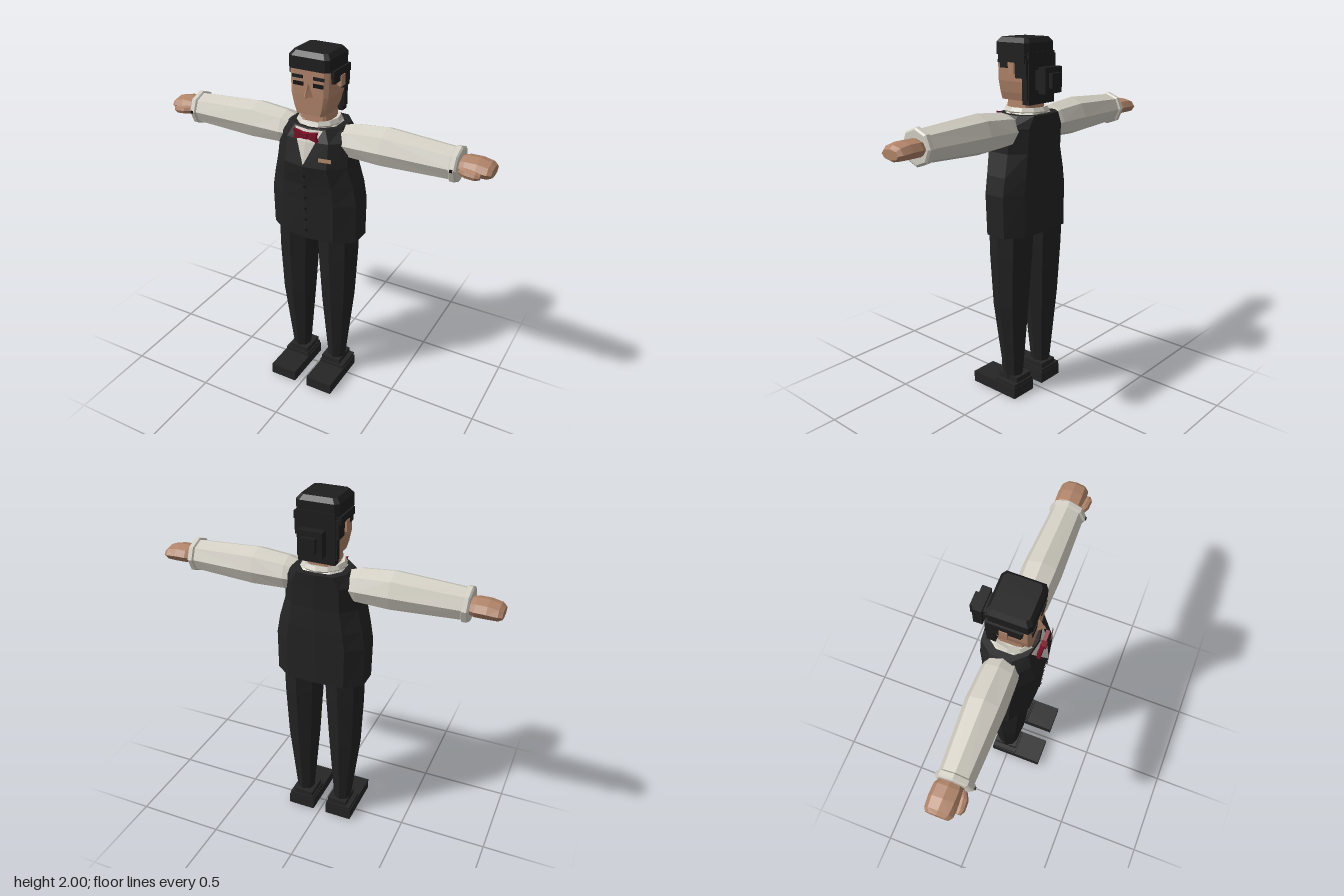
import * as THREE from 'three';

const mat = (name, color) => Object.assign(new THREE.MeshStandardMaterial({ color }), { name });

// Cross-section outlines: right half from front (+z) to back, mirrored to a closed loop
const outline = half => [...half, ...half.filter(p => p[0] > 0).reverse().map(([x, z]) => [-x, z])];
const OCT = outline([[0, 1], [0.71, 0.71], [1, 0], [0.71, -0.71], [0, -1]]);
const BODY = outline([[0, 1], [0.6, 0.86], [1, 0.4], [1, -0.45], [0.65, -0.93], [0, -1]]);
const BLOCK = outline([[0, 1], [0.8, 1], [1, 0.85], [1, -0.85], [0.8, -1], [0, -1]]);

// Capped, faceted loft through sections [y, halfWidth, frontZ, backZ, centreX]
function loft(shape, sections) {
  const pos = [], idx = [], n = shape.length;
  for (const [y, rx, f, b, cx = 0] of sections)
    for (const [u, v] of shape) pos.push(cx + u * rx, y, (f + b) / 2 + v * (f - b) / 2);
  for (let s = 0; s < sections.length - 1; s++)
    for (let i = 0; i < n; i++) {
      const a = s * n + i, b = s * n + (i + 1) % n;
      idx.push(a, b, b + n, a, b + n, a + n);
    }
  const top = (sections.length - 1) * n;
  for (let i = 1; i < n - 1; i++) idx.push(0, i + 1, i, top, top + i, top + i + 1);
  const g = new THREE.BufferGeometry();
  g.setAttribute('position', new THREE.Float32BufferAttribute(pos, 3));
  g.setIndex(idx);
  return g;
}

// Box from its limits
const box = (x0, x1, y0, y1, z0, z1) => new THREE.BoxGeometry(x1 - x0, y1 - y0, z1 - z0)
  .translate((x0 + x1) / 2, (y0 + y1) / 2, (z0 + z1) / 2);

// Loft laid along +x: sections [x, halfHeight, frontZ, backZ, centreY]
const limb = sections => loft(OCT, sections.map(([x, r, f, b, cy]) => [x, r, f, b, -cy])).rotateZ(-Math.PI / 2);

// Flat-shaded copy, optionally mirrored across x with winding restored
function facet(geo, mirror) {
  const g = geo.index ? geo.toNonIndexed() : geo.clone();
  if (mirror) {
    const p = g.attributes.position;
    for (let i = 0; i < p.count; i += 3) {
      const t = [0, 2, 1].map(k => new THREE.Vector3().fromBufferAttribute(p, i + k));
      t.forEach((v, k) => p.setXYZ(i + k, -v.x, v.y, v.z));
    }
  }
  g.computeVertexNormals();
  return g;
}

const VEST = [
  [0.975, 0.253, 0.13, -0.155], [1.2, 0.255, 0.14, -0.155], [1.3, 0.237, 0.145, -0.155],
  [1.42, 0.205, 0.165, -0.15], [1.55, 0.2, 0.135, -0.155], [1.615, 0.15, 0.11, -0.16],
];

// Depth of the vest front at (x, y), used to lay thin details on it
function vestFront(x, y) {
  let i = 0;
  while (i < VEST.length - 2 && y > VEST[i + 1][0]) i++;
  const a = VEST[i], b = VEST[i + 1], t = (y - a[0]) / (b[0] - a[0]);
  const [, rx, f, k] = a.map((v, j) => v + (b[j] - v) * t);
  return f - 0.07 * (f - k) * Math.abs(x) / (0.6 * rx);
}
function drape(w, h, cx, cy, ws, hs, lift, widthAt = () => 1) {
  const g = new THREE.PlaneGeometry(w, h, ws, hs).translate(cx, cy, 0), p = g.attributes.position;
  for (let i = 0; i < p.count; i++) {
    const y = p.getY(i), x = p.getX(i) * widthAt(y);
    p.setXYZ(i, x, y, vestFront(x, y) + lift);
  }
  return g;
}

export function createModel() {
  const model = new THREE.Group();
  model.name = 'man';
  const skin = mat('skin', 0xb08469), hair = mat('hair', 0x1e1e1e), vest = mat('vest', 0x232323);
  const trousers = mat('trousers', 0x222222), shoe = mat('shoe leather', 0x252525);
  const shirt = mat('shirt', 0xd2cec3), red = mat('bow tie red', 0x7a1028);
  const tan = mat('pocket trim', 0xa8805f), dark = mat('button black', 0x141414);

  const add = (name, geo, material) => {
    const m = new THREE.Mesh(facet(geo), material);
    m.name = name;
    model.add(m);
  };
  const pair = (name, geo, material) => {
    add(name + 'Left', geo, material);
    const m = new THREE.Mesh(facet(geo, true), material);
    m.name = name + 'Right';
    model.add(m);
  };

  // Legs and shoes
  pair('leg', loft(OCT, [[0.09, 0.05, 0.035, -0.075, 0.12], [0.55, 0.097, 0.088, -0.11, 0.127],
    [0.85, 0.113, 0.108, -0.13, 0.124], [1.0, 0.115, 0.112, -0.137, 0.122]]), trousers);
  pair('shoe', box(0.04, 0.2, 0, 0.065, -0.1, 0.22), shoe);
  pair('shoeUpper', box(0.045, 0.195, 0.06, 0.085, -0.098, 0.055), shoe);
  pair('shoeCuff', box(0.052, 0.168, 0.08, 0.117, -0.09, 0.047), shoe);

  // Vest with shirt front, placket, buttons and pocket
  add('vest', loft(BODY, VEST), vest);
  add('shirtFront', drape(0.16, 0.18, 0, 1.52, 2, 9, 0.004, y => (y - 1.43) / 0.18), shirt);
  add('placket', drape(0.03, 0.44, 0, 1.2, 2, 22, 0.003), vest);
  for (let i = 0; i < 6; i++) {
    const y = 1.03 + i * 0.067;
    add('button', new THREE.CylinderGeometry(0.008, 0.008, 0.006, 8).rotateX(Math.PI / 2)
      .translate(0, y, vestFront(0, y) + 0.004), dark);
  }
  add('pocketTrim', drape(0.068, 0.02, 0.113, 1.468, 1, 1, 0.006), tan);

  // Shirt yoke and open collar
  add('shirtYoke', loft(BODY, [[1.6, 0.13, 0.1, -0.14], [1.635, 0.095, 0.08, -0.11]]), shirt);
  add('collar', new THREE.TorusGeometry(1, 0.17, 5, 10, Math.PI * 1.72).rotateZ(-Math.PI * 0.36)
    .rotateX(-Math.PI / 2).rotateY(0).scale(0.103, 0.13, 0.105).translate(0, 1.627, -0.015), shirt);

  // Bow tie
  const wing = new THREE.Shape([[0, -0.01], [0.068, -0.026], [0.06, 0], [0.068, 0.026], [0, 0.01]]
    .map(p => new THREE.Vector2(...p)));
  pair('bowWing', new THREE.ExtrudeGeometry(wing, { depth: 0.02, bevelEnabled: false })
    .translate(0, 1.583, 0.122), red);
  add('bowKnot', box(-0.015, 0.015, 1.57, 1.597, 0.118, 0.15), red);

  // Sleeves, cuffs and hands
  pair('sleeve', limb([[0.13, 0.075, 0.065, -0.1, 1.535], [0.2, 0.092, 0.08, -0.115, 1.54],
    [0.38, 0.105, 0.086, -0.122, 1.545], [0.76, 0.083, 0.075, -0.1, 1.542]]), shirt);
  pair('cuff', limb([[0.738, 0.084, 0.076, -0.1, 1.542], [0.745, 0.094, 0.086, -0.111, 1.542],
    [0.768, 0.094, 0.086, -0.111, 1.542], [0.776, 0.084, 0.076, -0.1, 1.542]]), shirt);
  pair('cuffLink', box(0.75, 0.764, 1.536, 1.55, 0.08, 0.089), dark);
  pair('hand', limb([[0.76, 0.038, 0.035, -0.08, 1.543], [0.8, 0.047, 0.05, -0.1, 1.545],
    [0.86, 0.047, 0.05, -0.102, 1.545], [0.915, 0.04, 0.045, -0.098, 1.54],
    [0.935, 0.026, 0.03, -0.085, 1.537]]), skin);
  pair('thumb', limb([[0.785, 0.02, 0.06, 0.02, 1.535], [0.82, 0.024, 0.08, 0.03, 1.535],
    [0.87, 0.022, 0.082, 0.04, 1.532], [0.892, 0.012, 0.07, 0.045, 1.53]]), skin);

  // Head, neck, ears and nose
  add('neck', loft(BLOCK, [[1.61, 0.078, 0.068, -0.085], [1.72, 0.07, 0.06, -0.08]]), skin);
  add('head', loft(BLOCK, [[1.68, 0.078, 0.098, -0.06], [1.72, 0.092, 0.1, -0.08],
    [1.78, 0.105, 0.102, -0.09], [1.93, 0.11, 0.102, -0.09]]), skin);
  add('nose', loft(outline([[0, 1], [1, -1]]), [[1.78, 0.03, 0.142, 0.095], [1.842, 0.006, 0.108, 0.095]]), skin);
  pair('ear', box(0.1, 0.13, 1.82, 1.878, -0.04, 0), skin);

  // Eyes and brows as thin plates
  pair('brow', box(0.03, 0.09, 1.868, 1.884, 0.1, 0.108), hair);
  pair('eye', box(0.028, 0.085, 1.83, 1.85, 0.1, 0.106), dark);

  // Hair with side patches, nape and bun
  add('hairCap', loft(BLOCK, [[1.912, 0.115, 0.108, -0.112], [1.975, 0.115, 0.108, -0.112],
    [2.0, 0.095, 0.088, -0.095]]), hair);
  add('hairBack', box(-0.1, 0.1, 1.665, 1.93, -0.118, -0.072), hair);
  pair('hairSideTop', box(0.1, 0.126, 1.875, 1.915, -0.105, 0.07), hair);
  pair('hairSideFront', box(0.1, 0.123, 1.848, 1.88, 0, 0.062), hair);
  pair('hairSideBack', box(0.09, 0.118, 1.8, 1.9, -0.112, -0.04), hair);
  pair('hairNapeEdge', box(0.08, 0.108, 1.69, 1.82, -0.112, -0.078), hair);
  add('bunBase', box(-0.05, 0.05, 1.74, 1.84, -0.155, -0.11), hair);
  add('bunMiddle', box(-0.065, 0.065, 1.725, 1.858, -0.197, -0.15), hair);
  add('bunEnd', box(-0.038, 0.038, 1.755, 1.83, -0.22, -0.19), hair);
  return model;
}
